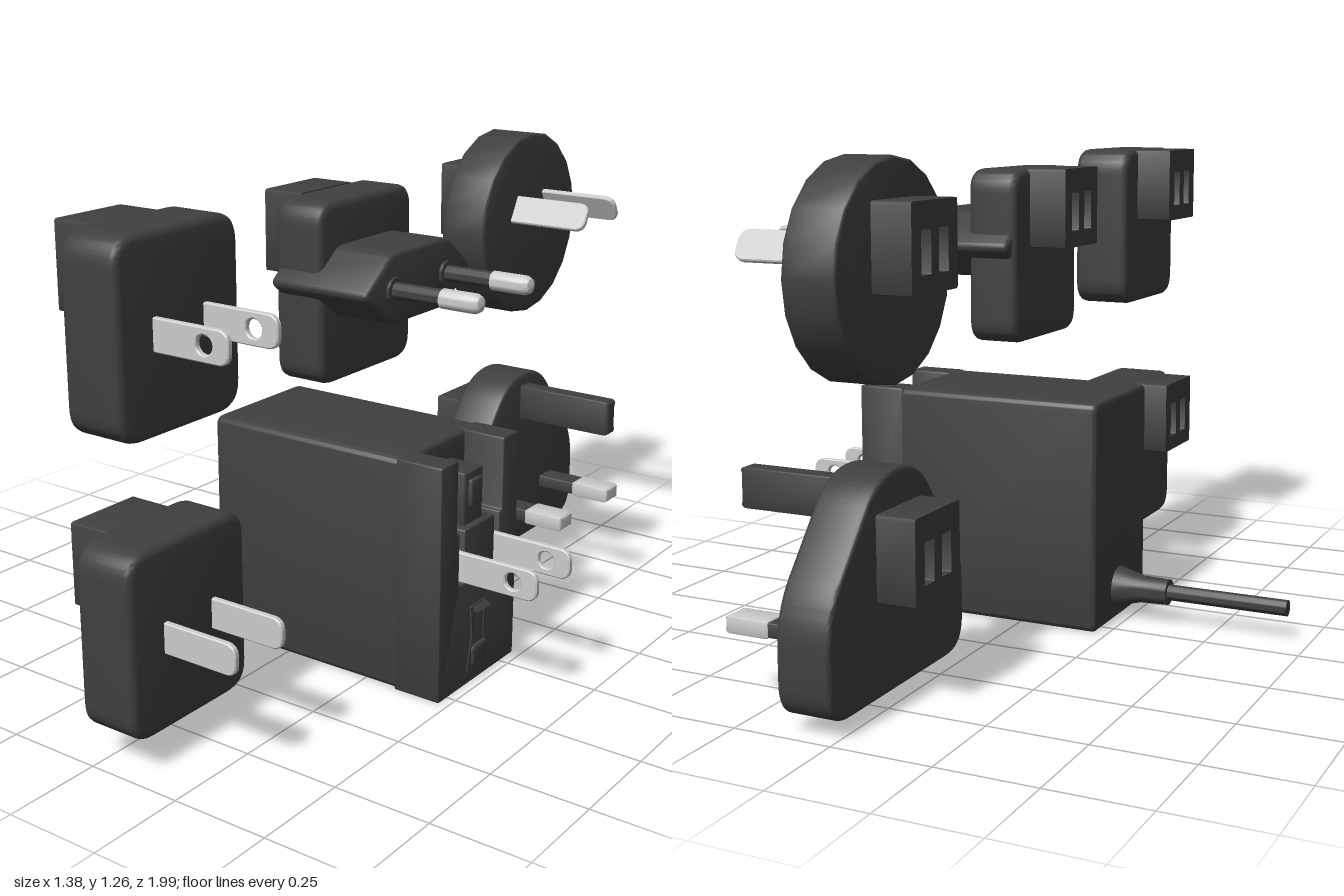
import * as THREE from 'three';
import { toCreasedNormals } from 'three/addons/utils/BufferGeometryUtils.js';

const dark = new THREE.MeshStandardMaterial({ color: 0x404040 });
const metal = new THREE.MeshStandardMaterial({ color: 0xcccccc });

// Polygon with rounded corners; also serves as a hole outline
function roundedPoly(pts, r, Type = THREE.Shape) {
  const s = new Type();
  const v = pts.map(p => new THREE.Vector2(...p));
  v.forEach((p, i) => {
    const toward = q => p.clone().add(q.clone().sub(p).setLength(r));
    const a = toward(v[(i + v.length - 1) % v.length]);
    const b = toward(v[(i + 1) % v.length]);
    if (i) s.lineTo(a.x, a.y); else s.moveTo(a.x, a.y);
    s.quadraticCurveTo(p.x, p.y, b.x, b.y);
  });
  s.closePath();
  return s;
}
function rect(w, h, r = 0.004, cx = 0, cy = 0, Type = THREE.Shape) {
  const x = w / 2, y = h / 2;
  return roundedPoly([[cx - x, cy - y], [cx + x, cy - y], [cx + x, cy + y], [cx - x, cy + y]], r, Type);
}

function add(parent, name, geo, mat, x = 0, y = 0, z = 0) {
  const m = new THREE.Mesh(geo, mat);
  m.name = name;
  m.position.set(x, y, z);
  parent.add(m);
  return m;
}

// Extrudes an outline lying across the x axis from x0 to x1
function slab(shape, x0, x1, bevel = 0) {
  const g = new THREE.ExtrudeGeometry(shape, {
    depth: x1 - x0 - 2 * bevel, bevelEnabled: bevel > 0, bevelThickness: bevel,
    bevelSize: bevel, bevelOffset: -bevel, bevelSegments: 3, curveSegments: 10,
  });
  g.translate(0, 0, x0 + bevel);
  g.rotateY(Math.PI / 2);
  return toCreasedNormals(g, 0.6);
}

// Flat contact blade along x with a rounded tip and optional hole
function blade(x0, x1, h, hole) {
  const t = 0.016, c = 0.03, y = h / 2;
  const s = new THREE.Shape();
  s.moveTo(x0, -y);
  s.lineTo(x1 - c, -y);
  s.quadraticCurveTo(x1, -y, x1, -y + c);
  s.lineTo(x1, y - c);
  s.quadraticCurveTo(x1, y, x1 - c, y);
  s.lineTo(x0, y);
  s.closePath();
  if (hole) {
    const p = new THREE.Path();
    p.absarc(x1 - 0.066, 0, 0.022, 0, Math.PI * 2, true);
    s.holes.push(p);
  }
  const g = new THREE.ExtrudeGeometry(s, {
    depth: t - 0.006, bevelThickness: 0.003, bevelSize: 0.003, bevelOffset: -0.003, bevelSegments: 1,
  });
  g.translate(0, 0, -t / 2 + 0.003);
  return toCreasedNormals(g, 0.5);
}

// Turned part along x from [x, radius] pairs
function turned(points) {
  const g = new THREE.LatheGeometry(points.map(([x, r]) => new THREE.Vector2(r, x)), 24);
  g.rotateZ(-Math.PI / 2);
  return toCreasedNormals(g, 0.6);
}

// Adapter: face plate plus the slotted coupling block behind it
function adapter(root, name, shape, x0, y, z, blockY, bevel = 0.018) {
  const g = new THREE.Group();
  g.name = name;
  g.position.set(0, y, z);
  root.add(g);
  add(g, 'facePlate', slab(shape, x0, x0 + 0.16 - (x0 < -0.02 ? 0 : 0.025), bevel), dark);
  const block = rect(0.21, 0.205, 0.008);
  for (const s of [-1, 1]) block.holes.push(rect(0.045, 0.1, 0.003, s * 0.04, -0.01, THREE.Path));
  add(g, 'couplingBlock', slab(block, x0 - 0.1, x0 + 0.01), dark, 0, blockY - y, 0);
  return g;
}

export function createModel() {
  const root = new THREE.Group();
  root.name = 'travelChargerSet';

  // Charger housing
  const charger = new THREE.Group();
  charger.name = 'charger';
  charger.position.z = 0.113;
  root.add(charger);
  add(charger, 'housing', slab(rect(0.356, 0.61, 0.025), -0.22, 0.36, 0.012), dark, 0, 0.306, 0);

  // Front section with coupling recess and blade slots
  const half = [[0.178, 0], [0.178, 0.61], [0.105, 0.61], [0.105, 0.42], [0.093, 0.42],
    [0.093, 0.28], [0.069, 0.28], [0.069, 0.42]];
  const outline = [...half, ...half.map(([x, y]) => [-x, y]).reverse()];
  add(charger, 'frontSection', slab(roundedPoly(outline, 0.006), 0.345, 0.475, 0.003), dark, 0, 0.001, 0);
  add(charger, 'recessTongue', slab(rect(0.085, 0.15), 0.35, 0.455, 0.006), dark, 0, 0.48, 0);
  add(charger, 'recessRidge', slab(rect(0.05, 0.07), 0.44, 0.465, 0.004), dark, 0, 0.5, 0);
  for (const s of [-1, 1])
    add(charger, 'chargerBlade', blade(0.37, 0.687, 0.078, true), metal, 0, 0.331, s * 0.081);

  // Release latch
  const latch = roundedPoly([[-0.052, 0.035], [0.052, 0.035], [0.032, 0.13], [0.04, 0.21],
    [-0.04, 0.21], [-0.032, 0.13]], 0.004);
  latch.holes.push(roundedPoly([[-0.038, 0.047], [0.038, 0.047], [0.022, 0.13], [0.026, 0.19],
    [-0.026, 0.19], [-0.022, 0.13]], 0.004, THREE.Path));
  add(charger, 'latchFrame', slab(latch, 0.465, 0.479), dark);
  add(charger, 'latchButton', slab(rect(0.07, 0.055, 0.01), 0.465, 0.485, 0.006), dark, 0, 0.072, 0);
  const catchShape = new THREE.Shape([[0.47, 0.215], [0.47, 0.195], [0.493, 0.195]].map(p => new THREE.Vector2(...p)));
  const catchGeo = new THREE.ExtrudeGeometry(catchShape, { depth: 0.06, bevelEnabled: false });
  add(charger, 'latchCatch', catchGeo, dark, 0, 0, -0.03);

  // Cable with strain relief
  add(charger, 'strainRelief', turned([[-0.365, 0], [-0.365, 0.034], [-0.29, 0.036], [-0.215, 0.056], [-0.215, 0]]),
    dark, 0, 0.087, -0.008);
  add(charger, 'cable', turned([[-0.69, 0], [-0.69, 0.021], [-0.36, 0.021]]), dark, 0, 0.087, -0.008);

  // Two flat-blade adapters, the upper one with drilled blades
  for (const [y, upper] of [[0.31, false], [1.008, true]]) {
    const g = adapter(root, upper ? 'drilledBladeAdapter' : 'plainBladeAdapter',
      rect(0.395, 0.453, 0.07), -0.03, y, 0.798, y + 0.122);
    for (const s of [-1, 1])
      add(g, 'flatBlade', blade(0.12, 0.335, 0.077, upper), metal, 0, upper ? 0.003 : 0.002, s * 0.081);
  }

  // Round-pin adapter with hexagonal snout
  const round = adapter(root, 'roundPinAdapter', rect(0.39, 0.45, 0.06), 0, 0.977, 0.116, 1.1);
  const hex = roundedPoly([[-0.235, 0], [-0.12, -0.088], [0.12, -0.088], [0.235, 0], [0.12, 0.088], [-0.12, 0.088]], 0.025);
  add(round, 'snout', slab(hex, 0.01, 0.292, 0.012), dark, 0, 0.028, 0);
  for (const s of [-1, 1]) {
    add(round, 'pinSleeve', turned([[0.28, 0.032], [0.3, 0.032], [0.3, 0.021], [0.435, 0.021]]), dark, 0, 0.026, s * 0.113);
    add(round, 'pinTip', turned([[0.43, 0], [0.43, 0.024], [0.52, 0.024], [0.533, 0.018], [0.54, 0]]),
      metal, 0, 0.026, s * 0.113);
  }

  // Disc adapter with slanted blades
  const disc = new THREE.Shape();
  disc.absarc(0, 0, 0.257, 0, Math.PI * 2, false);
  disc.curves[0].aEndAngle = Math.PI * 2;
  const slanted = adapter(root, 'slantedBladeAdapter', disc, 0, 1.0, -0.688, 1.06, 0.008);
  for (const s of [-1, 1])
    add(slanted, 'slantedBlade', blade(0.12, 0.36, 0.078), metal, 0, 0.052, s * 0.086).rotation.x = -s * 0.5;

  // Triangular adapter with three rectangular pins
  const tri = roundedPoly([[-0.31, 0.035], [0.31, 0.035], [0.31, 0.285], [0.09, 0.555], [-0.09, 0.555], [-0.31, 0.285]]
    .map(([x, y]) => [x, y - 0.29]), 0.085);
  const three = adapter(root, 'rectangularPinAdapter', tri, 0, 0.29, -0.688, 0.365, 0.01);
  for (const s of [-1, 1]) {
    add(three, 'pinSleeve', slab(rect(0.066, 0.036), 0.12, 0.25), dark, 0, -0.105, s * 0.141);
    add(three, 'pinTip', slab(rect(0.072, 0.042), 0.245, 0.365, 0.01), metal, 0, -0.105, s * 0.141);
  }
  add(three, 'earthPin', slab(rect(0.048, 0.1), 0.12, 0.42, 0.012), dark, 0, 0.18, 0);

  return root;
}
